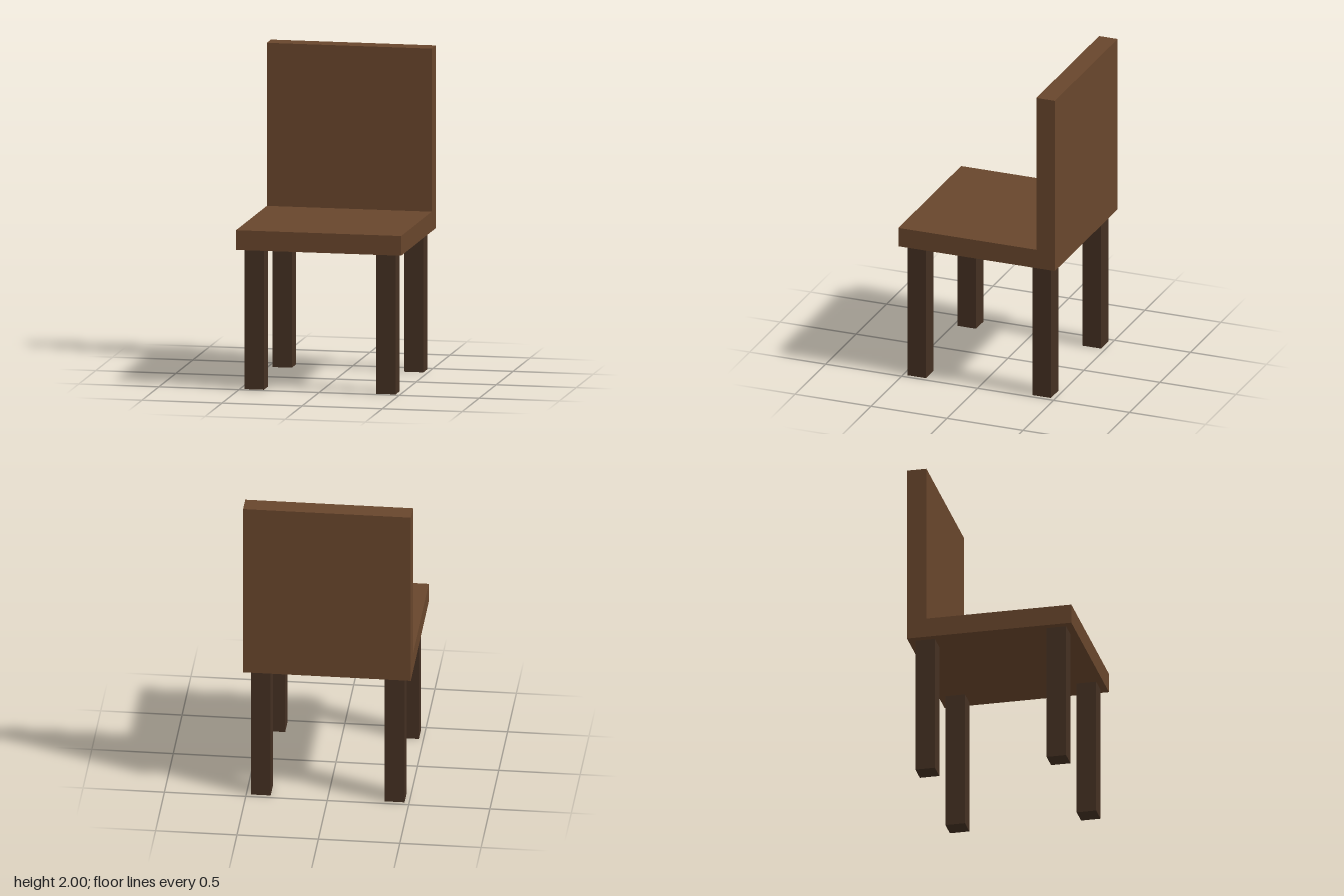
import * as THREE from 'three';

const HALF = 0.515;        // half width and depth of the seat
const SEAT_BOTTOM = 0.868;
const SEAT_TOP = 0.99;
const THICK = 0.122;       // thickness of the back and the legs
const LEG_OFFSET = 0.411;  // leg centre from the middle

export function createModel() {
  const chair = new THREE.Group();
  chair.name = 'chair';
  const seatWood = new THREE.MeshStandardMaterial({ color: 0x68462c, flatShading: true });
  const legWood = new THREE.MeshStandardMaterial({ color: 0x443022, flatShading: true });

  // Seat and backrest: one L-shaped side profile (z, y) extruded across the width
  const profile = new THREE.Shape([
    [-HALF, SEAT_BOTTOM], [HALF, SEAT_BOTTOM], [HALF, SEAT_TOP],
    [-HALF + THICK, SEAT_TOP], [-HALF + THICK, 2], [-HALF, 2],
  ].map(([z, y]) => new THREE.Vector2(z, y)));
  const seatGeometry = new THREE.ExtrudeGeometry(profile, { depth: 2 * HALF, bevelEnabled: false });
  seatGeometry.translate(0, 0, -HALF).rotateY(-Math.PI / 2);
  const seat = new THREE.Mesh(seatGeometry, seatWood);
  seat.name = 'seatAndBack';
  chair.add(seat);

  // Four square legs
  const legGeometry = new THREE.BoxGeometry(THICK, SEAT_BOTTOM, THICK);
  for (const [sideName, sx] of [['Left', 1], ['Right', -1]]) {
    for (const [endName, sz] of [['front', 1], ['back', -1]]) {
      const leg = new THREE.Mesh(legGeometry, legWood);
      leg.name = `${endName}${sideName}Leg`;
      leg.position.set(sx * LEG_OFFSET, SEAT_BOTTOM / 2, sz * LEG_OFFSET);
      chair.add(leg);
    }
  }
  return chair;
}
